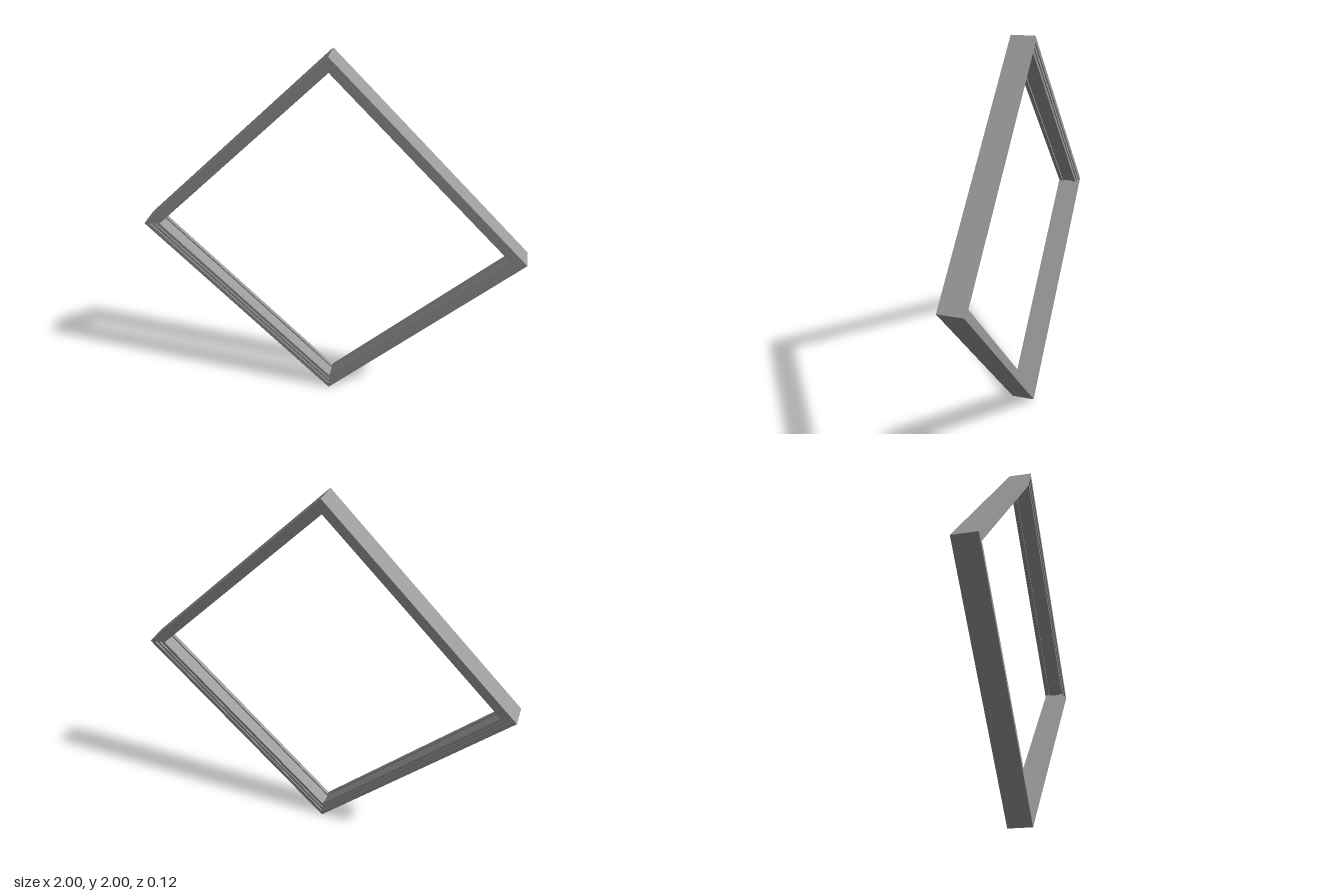
import * as THREE from 'three';

export function createModel() {
  const group = new THREE.Group();
  group.name = 'diamondFrame';
  const material = new THREE.MeshStandardMaterial({ color: 0x9a9a9a, flatShading: true });

  // Stepped moulding: [corner radius, half depth], from the outer face inward,
  // ending in a shallow channel along the inner face
  const steps = [
    [1, 0.062], [0.968, 0.062], [0.968, 0.056], [0.945, 0.056],
    [0.945, 0.05], [0.92, 0.05], [0.92, 0.03], [0.932, 0.03],
  ];
  const front = steps.map(([r, d]) => new THREE.Vector2(r, d));
  const back = steps.map(([r, d]) => new THREE.Vector2(r, -d)).reverse();
  const profile = [...back, ...front, back[0].clone()];

  // Four-sided sweep gives mitred rails with corners on the axes
  const geometry = new THREE.LatheGeometry(profile, 4);
  geometry.rotateX(Math.PI / 2);
  const frame = new THREE.Mesh(geometry, material);
  frame.name = 'mouldedFrame';
  frame.position.y = 1;
  group.add(frame);

  return group;
}
